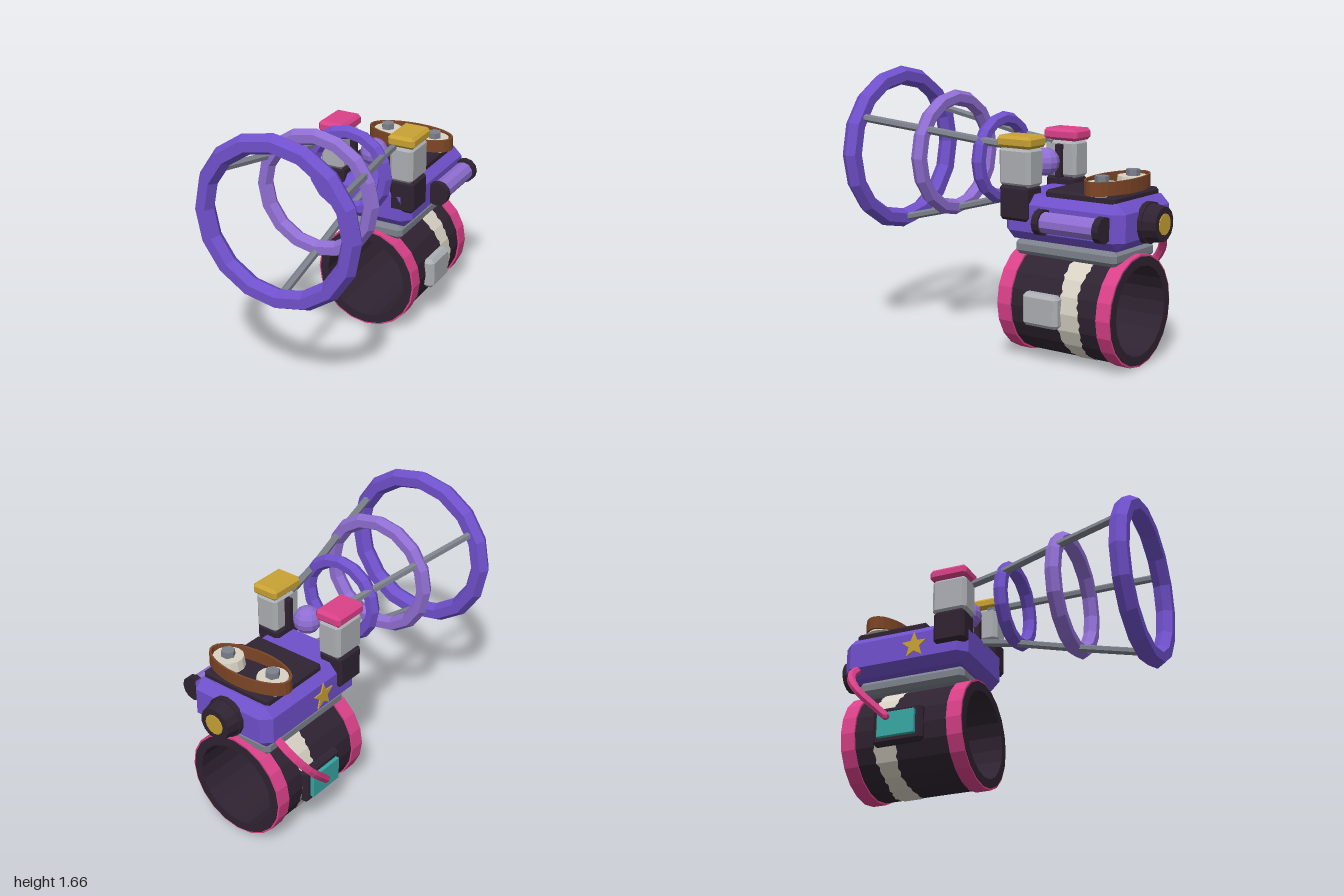
import * as THREE from 'three';
import { ConvexGeometry } from 'three/addons/geometries/ConvexGeometry.js';

const COLORS = {
  purple: 0x6f50cb, lavender: 0x8f6ed2, charcoal: 0x2f2331, pink: 0xdb4189, gold: 0xc9a234,
  brown: 0x7d4626, cream: 0xd9d3c5, steel: 0x7c818c, silver: 0xabaeb3, teal: 0x37a6a3,
};

export function createModel() {
  const root = new THREE.Group();
  root.name = 'wristGadget';
  const mats = {};
  for (const [name, color] of Object.entries(COLORS)) {
    mats[name] = new THREE.MeshStandardMaterial({ color });
    mats[name].name = name;
  }

  // Adds a faceted mesh
  function add(name, geo, color, x = 0, y = 0, z = 0) {
    const flat = geo.index ? geo.toNonIndexed() : geo;
    flat.computeVertexNormals();
    const mesh = new THREE.Mesh(flat, mats[color]);
    mesh.name = name;
    mesh.position.set(x, y, z);
    root.add(mesh);
    return mesh;
  }

  // Box given by its limits, with chamfered edges
  function box(name, color, [x0, x1], [y0, y1], [z0, z1], c) {
    const h = [(x1 - x0) / 2, (y1 - y0) / 2, (z1 - z0) / 2];
    const pts = [];
    for (const sx of [-1, 1]) for (const sy of [-1, 1]) for (const sz of [-1, 1]) {
      for (let k = 0; k < 3; k++) {
        const d = h.map((v, i) => (i === k ? v : v - c));
        pts.push(new THREE.Vector3(sx * d[0], sy * d[1], sz * d[2]));
      }
    }
    return add(name, new ConvexGeometry(pts), color, (x0 + x1) / 2, (y0 + y1) / 2, (z0 + z1) / 2);
  }

  // Hollow tube along z
  function sleeve(name, color, ro, ri, z0, z1, sides, y) {
    const p = [[ro, z0], [ro, z1], [ri, z1], [ri, z0], [ro, z0]].map(([a, b]) => new THREE.Vector2(a, b));
    return add(name, new THREE.LatheGeometry(p, sides).rotateX(Math.PI / 2), color, 0, y, 0);
  }

  // Solid cylinder along z; rFront is the radius at the +z end
  function rodZ(name, color, rFront, rBack, z0, z1, sides, x, y) {
    const g = new THREE.CylinderGeometry(rFront, rBack, z1 - z0, sides).rotateX(Math.PI / 2);
    return add(name, g, color, x, y, (z0 + z1) / 2);
  }

  // Straight strut between two points
  function strut(name, color, a, b, r) {
    const dir = b.clone().sub(a);
    const m = add(name, new THREE.CylinderGeometry(r, r, dir.length(), 6), color);
    m.position.copy(a).add(b).multiplyScalar(0.5);
    m.quaternion.setFromUnitVectors(new THREE.Vector3(0, 1, 0), dir.normalize());
  }

  // Wrist cuff with end trims
  const CY = 0.333, SIDES = 20;
  sleeve('cuff', 'charcoal', 0.32, 0.265, -0.852, -0.066, SIDES, CY);
  sleeve('frontCuffTrim', 'pink', 0.331, 0.31, -0.165, -0.071, SIDES, CY);
  sleeve('backCuffTrim', 'pink', 0.331, 0.31, -0.847, -0.757, SIDES, CY);

  // Ragged cloth band wrapped on the cuff facets
  const band = new THREE.CylinderGeometry(1, 1, 0.13, 80, 1, true);
  const bp = band.attributes.position;
  const step = (2 * Math.PI) / SIDES;
  for (let i = 0; i < bp.count; i++) {
    const t = (Math.atan2(bp.getX(i), bp.getZ(i)) + 2 * Math.PI + 1e-6) % (2 * Math.PI);
    const r = 0.3245 * Math.cos(step / 2) / Math.cos((t % step) - step / 2);
    const side = Math.sign(bp.getY(i));
    const n = Math.round(t / (2 * Math.PI) * 80) % 80;
    const ragged = 0.007 * Math.sin(n * 2.4 + side) + 0.009 * Math.sin(n * Math.PI / 8 + 2 * side);
    bp.setXYZ(i, r * Math.sin(t), bp.getY(i) + ragged, r * Math.cos(t));
  }
  add('clothBand', band.rotateX(Math.PI / 2), 'cream', 0, CY, -0.565);

  // Cuff side details
  box('sideClasp', 'silver', [0.29, 0.37], [0.24, 0.435], [-0.515, -0.27], 0.022);
  box('screenFrame', 'charcoal', [-0.35, -0.29], [0.22, 0.45], [-0.63, -0.31], 0.02);
  box('screen', 'teal', [-0.372, -0.34], [0.26, 0.41], [-0.59, -0.35], 0.003);

  // Mounting plate and spacers
  box('mountPlate', 'steel', [-0.22, 0.22], [0.615, 0.705], [-0.81, -0.11], 0.025);
  for (const z of [-0.205, -0.735]) {
    box('spacer', 'purple', [-0.16, 0.16], [0.69, 0.74], [z - 0.037, z + 0.037], 0.004);
  }

  // Main housing and top panel
  box('housing', 'purple', [-0.29, 0.29], [0.715, 0.985], [-0.888, -0.07], 0.055);
  box('topPanel', 'charcoal', [-0.24, 0.24], [0.965, 1.022], [-0.82, -0.345], 0.015);

  // Elliptical belt around two wheels
  const oval = (rx, rz) => new THREE.Path().absellipse(0, 0, rx, rz, 0, Math.PI * 2);
  const beltShape = new THREE.Shape(oval(0.287, 0.132).getPoints(14));
  beltShape.holes.push(new THREE.Path(oval(0.273, 0.119).getPoints(14)));
  const belt = new THREE.ExtrudeGeometry(beltShape, { depth: 0.08, bevelEnabled: false });
  add('belt', belt.rotateX(-Math.PI / 2), 'brown', 0, 1.02, -0.685);
  for (const x of [-0.165, 0.165]) {
    add('wheel', new THREE.CylinderGeometry(0.09, 0.1, 0.07, 14), 'cream', x, 1.05, -0.685);
    const bolt = new THREE.CylinderGeometry(0.042, 0.042, 0.06, 6).rotateY(Math.PI / 6);
    add('wheelBolt', bolt, 'steel', x, 1.092, -0.685);
  }

  // Capped posts on both sides, with inner stubs
  for (const s of [-1, 1]) {
    const span = (a, b) => (s > 0 ? [a, b] : [-b, -a]);
    box('postBase', 'charcoal', span(0.155, 0.315), [0.83, 1.035], [-0.27, -0.07], 0.018);
    box('post', 'silver', span(0.155, 0.31), [1.025, 1.255], [-0.283, -0.06], 0.022);
    box('postCap', s > 0 ? 'gold' : 'pink', span(0.145, 0.322), [1.25, 1.322], [-0.295, -0.055], 0.018);
    box('postStub', 'charcoal', span(0.122, 0.17), [1.03, 1.23], [-0.2, -0.16], 0.004);
  }
  add('sightBall', new THREE.SphereGeometry(0.085, 12, 8), 'lavender', 0, 1.14, -0.18);

  // Front rings: radius, thickness, depth
  const HUB = 1.14;
  const rings = [
    ['largeRing', 'purple', 0.46, 0.06, 0.948],
    ['middleRing', 'lavender', 0.343, 0.049, 0.508],
    ['smallRing', 'purple', 0.238, 0.043, 0.136],
  ];
  for (const [name, color, R, t, z] of rings) {
    add(name, new THREE.TorusGeometry(R, t, 6, 16), color, 0, HUB, z);
  }

  // Three bent struts joining the rings to the housing
  const path = [[0.455, 0.93], [0.35, 0.508], [0.25, 0.136], [0.2, -0.12]];
  for (const deg of [30, 150, 270]) {
    const a = THREE.MathUtils.degToRad(deg);
    const pts = path.map(([r, z]) => new THREE.Vector3(r * Math.cos(a), HUB + r * Math.sin(a), z));
    for (let i = 0; i < 3; i++) strut('ringStrut', 'steel', pts[i], pts[i + 1], 0.024);
  }

  // Side canister
  rodZ('canister', 'lavender', 0.062, 0.062, -0.79, -0.39, 10, 0.333, 0.85);
  for (const z of [-0.39, -0.795]) {
    rodZ('canisterCap', 'charcoal', 0.076, 0.076, z - 0.021, z + 0.021, 12, 0.333, 0.85);
  }

  // Rear knob
  rodZ('knobFlange', 'charcoal', 0.122, 0.122, -0.915, -0.88, 14, 0, 0.855);
  rodZ('knob', 'charcoal', 0.115, 0.1, -0.995, -0.91, 14, 0, 0.855);
  rodZ('knobDisc', 'gold', 0.062, 0.062, -1, -0.992, 12, 0, 0.855);

  // Star plate on the side
  const star = new THREE.Shape();
  for (let i = 0; i < 10; i++) {
    const a = Math.PI / 2 + i * Math.PI / 5, r = i % 2 ? 0.036 : 0.085;
    star[i ? 'lineTo' : 'moveTo'](r * Math.cos(a), r * Math.sin(a));
  }
  const starGeo = new THREE.ExtrudeGeometry(star, { depth: 0.009, bevelEnabled: false });
  add('star', starGeo.rotateY(-Math.PI / 2), 'gold', -0.289, 0.85, -0.4);

  // Hanging hose
  const hose = new THREE.CatmullRomCurve3([
    [-0.26, 0.77, -0.79], [-0.37, 0.68, -0.775], [-0.435, 0.56, -0.7], [-0.405, 0.37, -0.515],
  ].map((p) => new THREE.Vector3(...p)));
  add('hose', new THREE.TubeGeometry(hose, 10, 0.026, 6), 'pink');
  const end = add('hoseTip', new THREE.SphereGeometry(0.026, 6, 4), 'pink', -0.405, 0.37, -0.515);
  end.scale.setScalar(0.95);

  return root;
}
